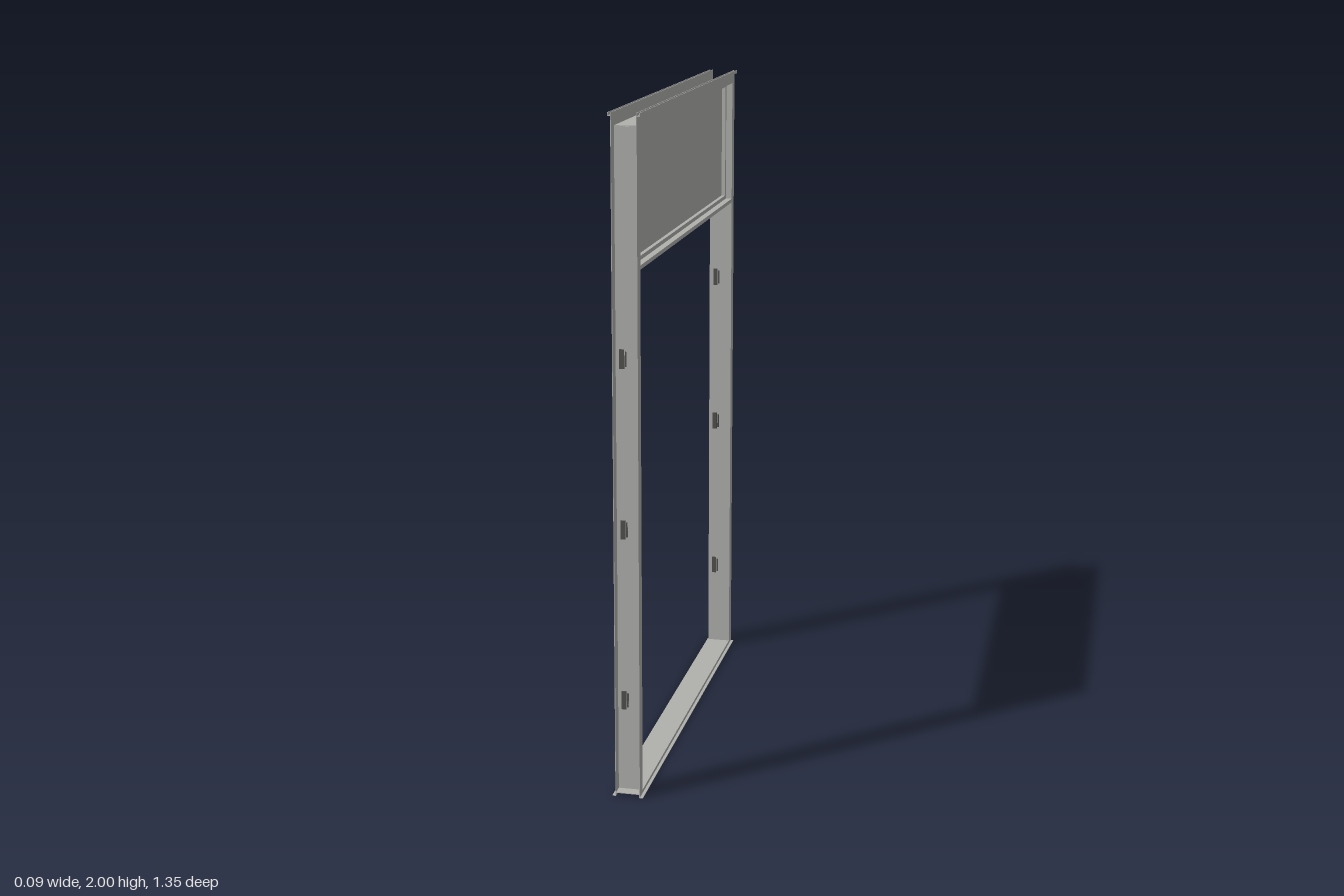
import * as THREE from 'three';

export function createModel() {
  const group = new THREE.Group();
  const steel = new THREE.MeshStandardMaterial({ color: 0xb0b0ad });
  steel.name = 'grey steel';
  const dark = new THREE.MeshStandardMaterial({ color: 0x50504e });
  dark.name = 'dark steel';

  // box given by its min and max corners
  const box = (name, x0, x1, y0, y1, z0, z1, mat = steel) => {
    const mesh = new THREE.Mesh(new THREE.BoxGeometry(x1 - x0, y1 - y0, z1 - z0), mat);
    mesh.position.set((x0 + x1) / 2, (y0 + y1) / 2, (z0 + z1) / 2);
    mesh.name = name;
    group.add(mesh);
  };
  // same box mirrored across x or z
  const boxX = (name, s, x0, x1, ...rest) =>
    box(name, s > 0 ? x0 : -x1, s > 0 ? x1 : -x0, ...rest);
  const boxZ = (name, s, x0, x1, y0, y1, z0, z1, mat) =>
    box(name, x0, x1, y0, y1, s > 0 ? z0 : -z1, s > 0 ? z1 : -z0, mat);

  const T = 0.002;              // sheet thickness
  const D = 0.037;              // half depth of the channels
  const LIP = 0.046;            // half depth over the lips
  const ZI = 0.64, ZO = 0.675;  // inner and outer half width
  const YI = 1.96;              // underside of the header

  for (const s of [1, -1]) {
    // jambs: web with outward flanges
    boxZ('jambWeb', s, -D, D, 0.012, YI, ZI, ZI + T);
    for (const f of [1, -1]) {
      const x0 = f > 0 ? D - T : -D, x1 = f > 0 ? D : -D + T;
      boxZ('jambFlange', s, x0, x1, 0, 2, ZI, ZO);
    }
    // hinges let through the jamb web
    for (const y of [0.29, 0.81, 1.31]) {
      boxZ('hingePlate', s, -0.024, -0.01, y - 0.028, y + 0.028, ZI - 0.003, ZI + 0.005, dark);
      boxZ('hingePin', s, -0.008, -0.003, y - 0.022, y + 0.022, ZI - 0.003, ZI + 0.002, dark);
    }
  }

  // header channel, open at the top
  box('headerWeb', -D, D, YI, YI + T, -ZI, ZI);
  // sill
  box('sill', -D, D, 0.01, 0.012, -ZO, ZO);
  for (const s of [1, -1]) {
    boxX('headerFlange', s, D - T, D, YI, 2, -ZI, ZI);
    boxX('headerLip', s, D - T, LIP, 1.99, 1.992, -ZO, ZO);
    boxX('headerLipEdge', s, LIP - T, LIP, 1.99, 2, -ZO, ZO);
    boxX('sillFlange', s, D - T, D, 0, 0.012, -ZI, ZI);
    boxX('sillLip', s, D - T, LIP, 0, T, -ZO, ZO);
  }

  // transom bar and panel with beads on both faces
  box('transomBar', -D, D, 1.565, 1.577, -ZI, ZI);
  box('transomPanel', -0.005, 0.005, 1.577, YI, -ZI, ZI);
  for (const s of [1, -1]) {
    boxX('beadTop', s, 0.005, 0.017, YI - 0.012, YI, -ZI, ZI);
    boxX('beadBottom', s, 0.005, 0.017, 1.577, 1.589, -ZI, ZI);
    for (const e of [1, -1]) {
      const z0 = e > 0 ? ZI - 0.013 : -ZI;
      boxX('beadSide', s, 0.005, 0.017, 1.589, YI - 0.012, z0, z0 + 0.013);
    }
  }
  return group;
}
